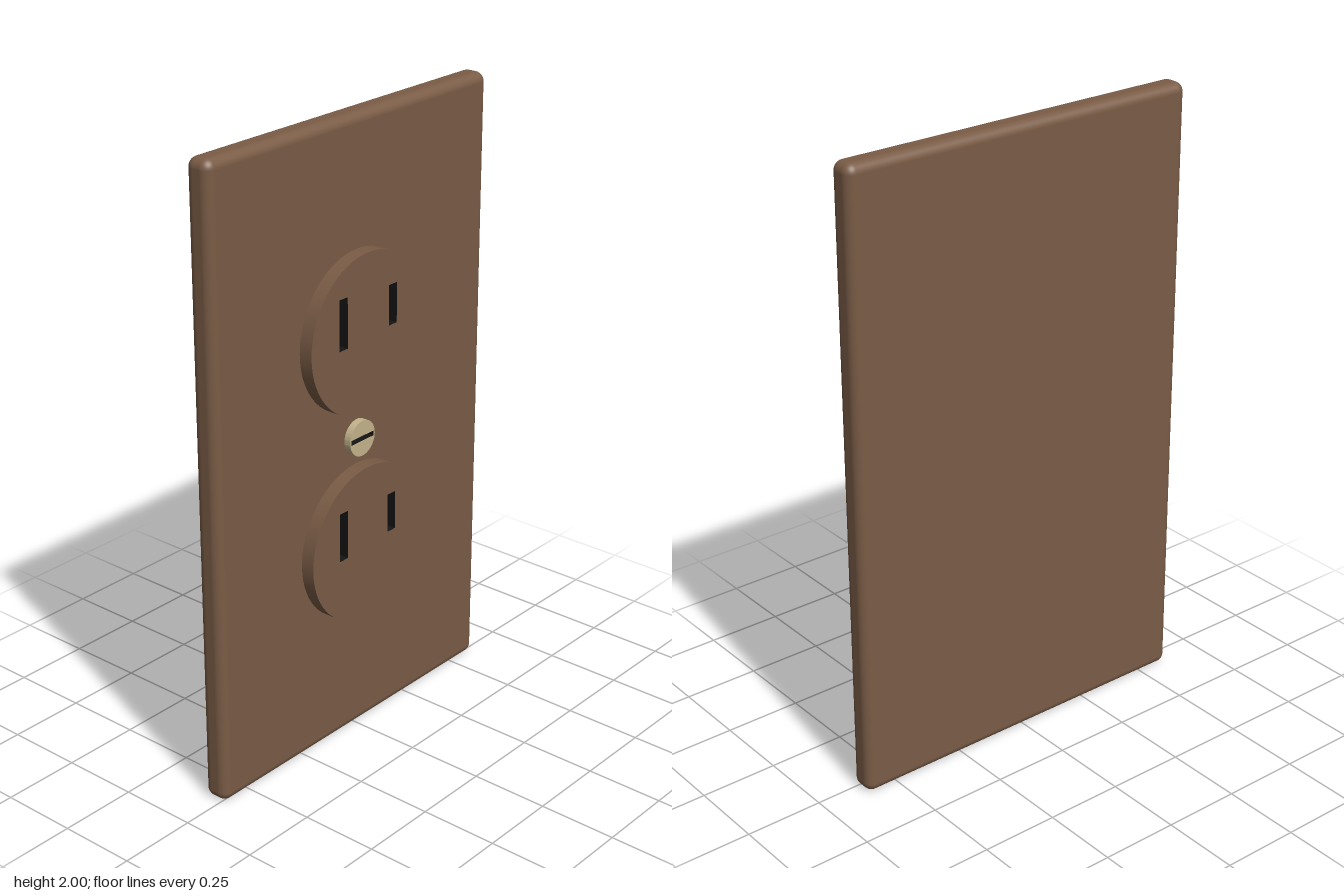
import * as THREE from 'three';
import { RoundedBoxGeometry } from 'three/addons/geometries/RoundedBoxGeometry.js';
import { toCreasedNormals } from 'three/addons/utils/BufferGeometryUtils.js';

const brown = new THREE.MeshStandardMaterial({ color: 0x7a5c46 });
const brass = new THREE.MeshStandardMaterial({ color: 0xc4b48c });
const dark = new THREE.MeshStandardMaterial({ color: 0x151515, side: THREE.BackSide });

const PLATE_FRONT = 0.02;

// Round disc with rectangular slots [x, y, width, height] cut through it, walls lined in dark
function slottedDisc(name, radius, depth, slots, material) {
  const group = new THREE.Group();
  group.name = name;
  const shape = new THREE.Shape().absarc(0, 0, radius, 0, Math.PI * 2);
  for (const [x, y, w, h] of slots) {
    const hole = new THREE.Path();
    hole.moveTo(x - w / 2, y - h / 2);
    hole.lineTo(x - w / 2, y + h / 2);
    hole.lineTo(x + w / 2, y + h / 2);
    hole.lineTo(x + w / 2, y - h / 2);
    hole.closePath();
    shape.holes.push(hole);

    // Four-sided open tube seen from inside
    const tube = new THREE.CylinderGeometry(Math.SQRT1_2, Math.SQRT1_2, depth, 4, 1, true)
      .rotateY(Math.PI / 4).rotateX(Math.PI / 2)
      .scale(w - 0.001, h - 0.001, 1).translate(x, y, depth / 2);
    const liner = new THREE.Mesh(toCreasedNormals(tube, 0.5), dark);
    liner.name = 'slotWall';
    group.add(liner);
  }
  const geometry = new THREE.ExtrudeGeometry(shape, { depth, bevelEnabled: false, curveSegments: 32 });
  const body = new THREE.Mesh(toCreasedNormals(geometry, 0.6), material);
  body.name = name + 'Body';
  group.add(body);
  return group;
}

export function createModel() {
  const model = new THREE.Group();
  model.name = 'wallOutlet';

  // Cover plate with softly rounded edges
  const plate = new THREE.Mesh(new RoundedBoxGeometry(1.22, 2, 0.085, 5, 0.03), brown);
  plate.name = 'coverPlate';
  plate.position.set(0, 1, PLATE_FRONT - 0.0425);
  model.add(plate);

  // Two sockets, each with a tall and a short slot
  const slots = [[-0.112, 0.061, 0.037, 0.16], [0.112, 0.061, 0.037, 0.128]];
  for (const [name, y] of [['upperSocket', 1.345], ['lowerSocket', 0.662]]) {
    const socket = slottedDisc(name, 0.253, 0.045, slots, brown);
    socket.position.set(0, y, PLATE_FRONT);
    model.add(socket);
  }

  // Centre screw with its driver slot
  const screw = slottedDisc('screw', 0.057, 0.023, [[0, 0, 0.104, 0.016]], brass);
  screw.position.set(0, 1.003, PLATE_FRONT);
  model.add(screw);

  return model;
}
